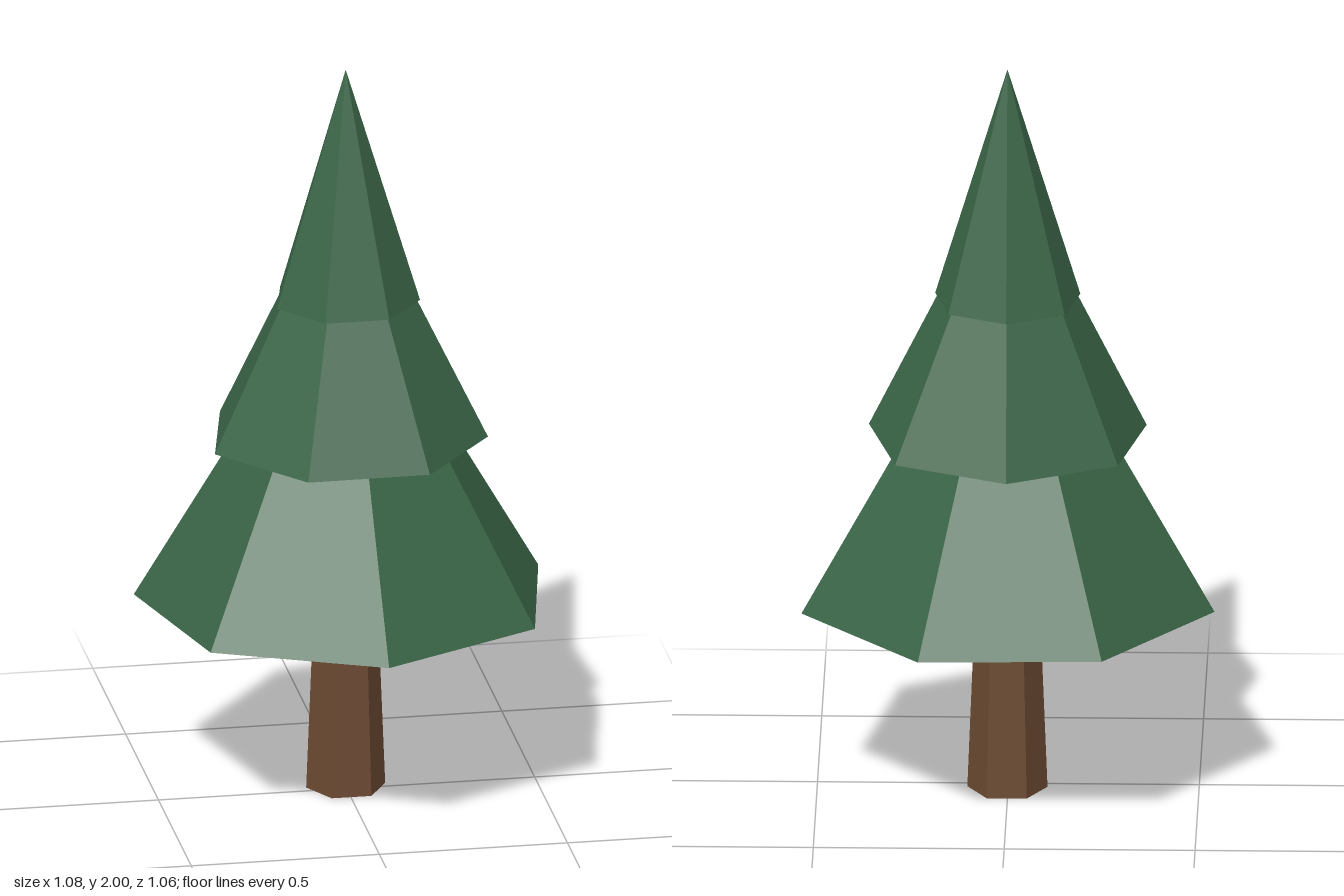
import * as THREE from 'three';

export function createModel() {
  const tree = new THREE.Group();
  tree.name = 'pineTree';
  const centreZ = -0.025; // trunk axis sits slightly behind the origin

  const needleGreen = new THREE.MeshStandardMaterial({ color: 0x3a6547 });
  needleGreen.name = 'needle green';
  const barkBrown = new THREE.MeshStandardMaterial({ color: 0x6b4a32 });
  barkBrown.name = 'bark brown';

  // Faceted, capped cone or frustum standing on y = base
  function addTaper(name, material, bottomRadius, topRadius, base, top, sides, turn) {
    const height = top - base;
    const smooth = new THREE.CylinderGeometry(topRadius, bottomRadius, height, sides, 1, false, turn);
    const geometry = smooth.toNonIndexed();
    geometry.computeVertexNormals();
    geometry.translate(0, base + height / 2, 0);
    const mesh = new THREE.Mesh(geometry, material);
    mesh.name = name;
    mesh.position.set(0.002, 0, centreZ);
    tree.add(mesh);
  }

  // Tapered six-sided trunk
  addTaper('trunk', barkBrown, 0.105, 0.081, 0, 0.6, 6, Math.PI / 2);

  // Three overlapping seven-sided foliage tiers
  addTaper('lowerFoliage', needleGreen, 0.555, 0, 0.53, 1.47, 7, 0.034);
  addTaper('middleFoliage', needleGreen, 0.373, 0, 0.98, 1.74, 7, 0.46);
  addTaper('upperFoliage', needleGreen, 0.195, 0, 1.36, 2, 7, 0.452);

  return tree;
}
